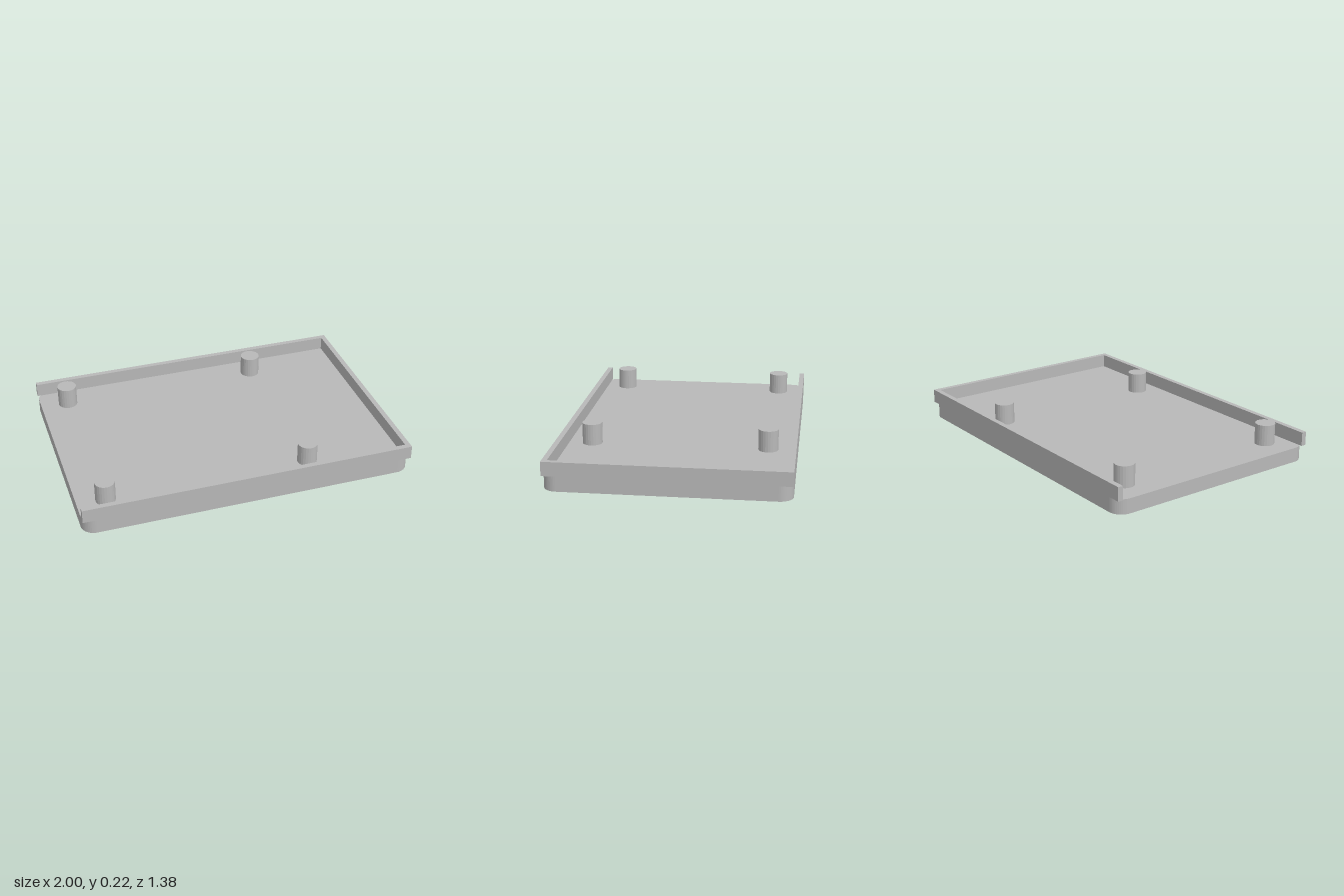
import * as THREE from 'three';

const W = 1, D = 0.692;      // half length, half depth
const FLOOR = 0.088, TOP = 0.171, WALL = 0.031;

// Extrude a plan outline upward from y0 to y1
function slab(name, shape, y0, y1, material) {
  const geo = new THREE.ExtrudeGeometry(shape, { depth: y1 - y0, bevelEnabled: false, curveSegments: 6 });
  geo.rotateX(-Math.PI / 2).translate(0, y0, 0);
  const mesh = new THREE.Mesh(geo, material);
  mesh.name = name;
  return mesh;
}

export function createModel() {
  const group = new THREE.Group();
  group.name = 'tray';
  const gray = new THREE.MeshStandardMaterial({ color: 0xb8b8b8, flatShading: true });
  gray.name = 'light gray';

  // Floor plate with rounded corners
  const r = 0.08;
  const plate = new THREE.Shape();
  plate.absarc(W - r, D - r, r, 0, Math.PI / 2);
  plate.absarc(-W + r, D - r, r, Math.PI / 2, Math.PI);
  plate.absarc(-W + r, -D + r, r, Math.PI, Math.PI * 1.5);
  plate.absarc(W - r, -D + r, r, Math.PI * 1.5, Math.PI * 2);
  plate.closePath();
  group.add(slab('floorPlate', plate, 0, FLOOR, gray));

  // Square-cornered rim on three sides, open at -x
  const rim = new THREE.Shape([
    [-W, -D], [W, -D], [W, D], [-W, D],
    [-W, D - WALL], [W - WALL, D - WALL], [W - WALL, -D + WALL], [-W, -D + WALL],
  ].map(([x, y]) => new THREE.Vector2(x, y)));
  group.add(slab('rimWall', rim, FLOOR, TOP, gray));

  // Four round pegs standing on the floor
  const pegTop = 0.215;
  const pegGeo = new THREE.CylinderGeometry(0.059, 0.059, pegTop - FLOOR, 24);
  for (const x of [-0.83, 0.4]) {
    for (const z of [-0.522, 0.522]) {
      const peg = new THREE.Mesh(pegGeo, gray);
      peg.name = 'peg';
      peg.position.set(x, (pegTop + FLOOR) / 2, z);
      group.add(peg);
    }
  }
  return group;
}
